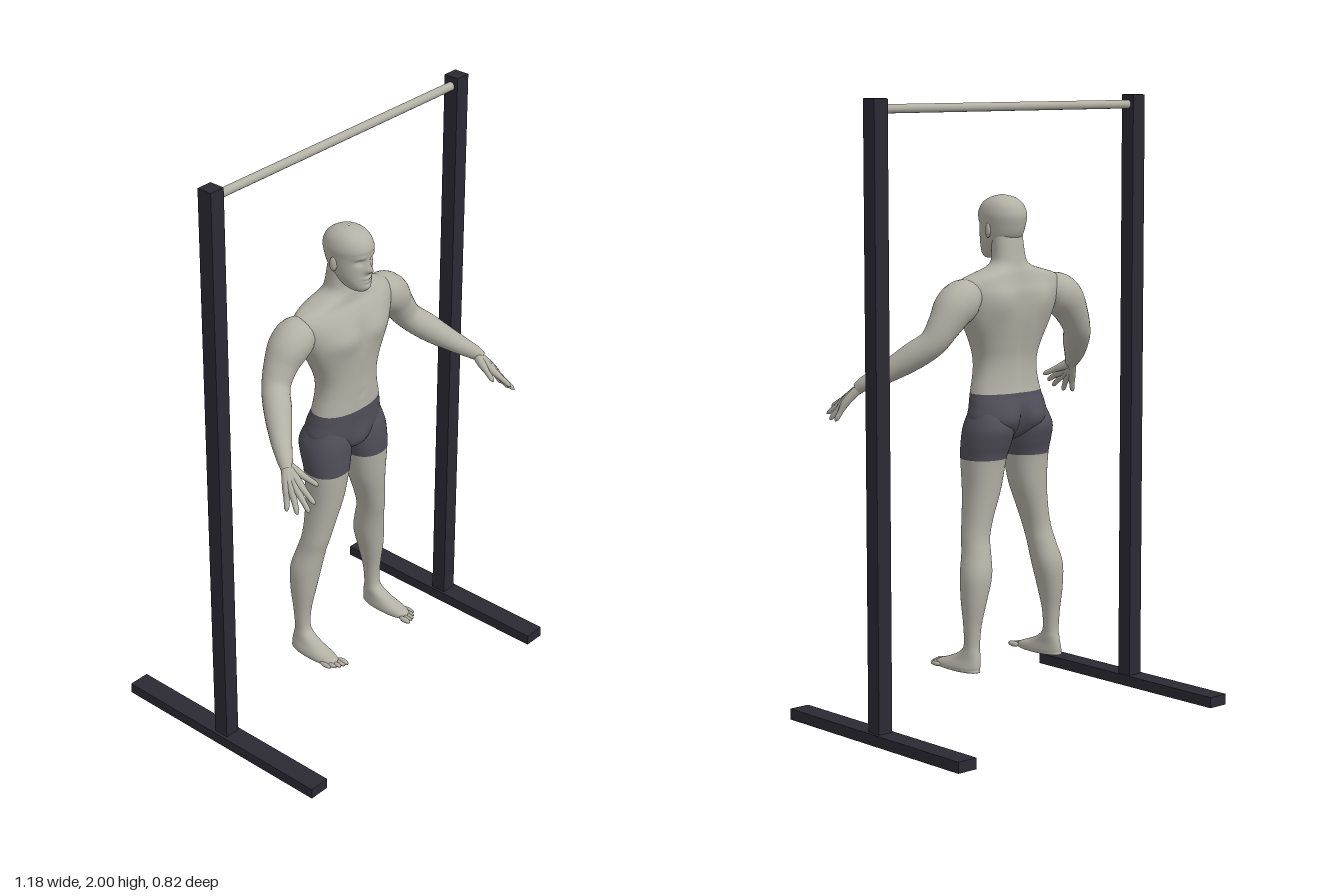
import * as THREE from 'three';
import { mergeVertices } from 'three/addons/utils/BufferGeometryUtils.js';

const mat = (name, color) => {
  const m = new THREE.MeshStandardMaterial({ color });
  m.name = name;
  return m;
};

function spline(keys, t) {
  const i = Math.min(Math.floor(t), keys.length - 2), f = t - i;
  const k = (n) => keys[Math.max(0, Math.min(keys.length - 1, n))];
  return k(i).map((b, c) => {
    const a = k(i - 1)[c], d = k(i + 1)[c], e = k(i + 2)[c];
    return b + 0.5 * f * (d - a + f * (2 * a - 5 * b + 4 * d - e + f * (3 * (b - d) + e - a)));
  });
}

// Horizontal rings [y, centre x, half width, back z, front z], bottom to top.
// Bumps are [|x|, y, side, spread x, spread y, height]; side +1 front, -1 back.
function loft(keys, { side = 1, n = 40, steps = 5, bumps = [], power = 0.9, split = 0 } = {}) {
  const pos = [], index = [], rows = (keys.length - 1) * steps;
  for (let j = 0; j <= rows; j++) {
    const [y, cx, rx, zb, zf] = spline(keys, j / steps);
    for (let i = 0; i < n; i++) {
      const a = (i / n) * Math.PI * 2, c = Math.cos(a), s = Math.sin(a);
      const x = side * cx + rx * Math.sign(c) * Math.abs(c) ** power;
      let z = (zf + zb) / 2 + ((zf - zb) / 2) * Math.sign(s) * Math.abs(s) ** power;
      for (const [bx, by, f, sx, sy, h] of bumps) {
        if (s * f > 0) {
          const g = Math.exp(-(((Math.abs(x) - bx) / sx) ** 2) - ((y - by) / sy) ** 2);
          z += f * h * g * Math.min(1, Math.abs(s) * 2);
        }
      }
      pos.push(x, y, z);
      if (j < rows) {
        const p = j * n + i, q = j * n + ((i + 1) % n);
        index.push(p, p + n, q, q, p + n, q + n);
      }
    }
  }
  const g = new THREE.BufferGeometry();
  g.setAttribute('position', new THREE.Float32BufferAttribute(pos, 3));
  g.setIndex(index);
  g.computeVertexNormals();
  // first group lies below the split key, second above it
  const cut = split * steps * n * 6;
  g.addGroup(0, cut, 0);
  g.addGroup(cut, index.length - cut, 1);
  return g;
}

// Tapered tube through points [x, y, z, radius]
function limb(points, side, segments, radial) {
  const curve = new THREE.CatmullRomCurve3(points.map(([x, y, z]) => new THREE.Vector3(x * side, y, z)));
  let g = new THREE.TubeGeometry(curve, segments, 1, radial);
  const p = g.attributes.position, v = new THREE.Vector3();
  for (let i = 0; i <= segments; i++) {
    const u = i / segments, c = curve.getPointAt(u);
    const t = curve.getUtoTmapping(u) * (points.length - 1);
    const r = Math.max(0.001, spline(points, t)[3]);
    for (let j = 0; j <= radial; j++) {
      const k = i * (radial + 1) + j;
      v.fromBufferAttribute(p, k).sub(c).multiplyScalar(r).add(c);
      p.setXYZ(k, v.x, v.y, v.z);
    }
  }
  g.deleteAttribute('uv');
  g.deleteAttribute('normal');
  g = mergeVertices(g, 1e-5);
  g.computeVertexNormals();
  return g;
}

export function createModel() {
  const root = new THREE.Group();
  root.name = 'pullUpStation';
  const skin = mat('skin', 0xb3b0a5);
  const shorts = mat('shorts', 0x504e58);
  const frame = mat('frame', 0x2b2a34);
  const steel = mat('steel', 0xb3b0a5);
  const add = (parent, name, geometry, material, x = 0, y = 0, z = 0) => {
    const m = new THREE.Mesh(geometry, material);
    m.name = name;
    m.position.set(x, y, z);
    parent.add(m);
    return m;
  };

  // Rack
  const rack = new THREE.Group();
  rack.name = 'rack';
  root.add(rack);
  for (const s of [-1, 1]) {
    add(rack, 'baseBar', new THREE.BoxGeometry(0.072, 0.036, 0.824), frame, s * 0.552, 0.018, 0);
    add(rack, 'post', new THREE.BoxGeometry(0.053, 1.964, 0.053), frame, s * 0.551, 1.018, 0);
  }
  add(rack, 'pullUpBar', new THREE.CylinderGeometry(0.014, 0.014, 1.06, 24), steel, 0, 1.968, 0).rotation.z = Math.PI / 2;

  const figure = new THREE.Group();
  figure.name = 'figure';
  root.add(figure);

  // Torso and neck, with the waistband at the fifth ring
  add(figure, 'torso', loft([
    [0.9, 0, 0.02, 0.0, 0.05], [0.925, 0, 0.085, -0.04, 0.085], [0.97, 0, 0.148, -0.062, 0.095],
    [1.02, 0, 0.143, -0.062, 0.098], [1.06, 0, 0.133, -0.05, 0.1], [1.12, 0, 0.119, -0.045, 0.1],
    [1.17, 0, 0.119, -0.046, 0.1], [1.22, 0, 0.135, -0.055, 0.103], [1.28, 0, 0.165, -0.066, 0.107],
    [1.33, 0, 0.188, -0.07, 0.106], [1.38, 0, 0.208, -0.068, 0.094], [1.41, 0, 0.21, -0.06, 0.08],
    [1.432, 0, 0.188, -0.054, 0.066], [1.447, 0, 0.14, -0.05, 0.062], [1.46, 0, 0.092, -0.045, 0.06],
    [1.475, 0, 0.066, -0.04, 0.057], [1.5, 0, 0.057, -0.035, 0.055], [1.56, 0, 0.054, -0.025, 0.06],
  ], {
    n: 64, split: 4, bumps: [
      [0.075, 1.33, 1, 0.06, 0.045, 0.012], [0, 1.33, 1, 0.013, 0.05, -0.008],
      [0, 1.17, 1, 0.01, 0.08, -0.004], [0, 1.115, 1, 0.006, 0.006, -0.006],
      [0, 1.25, -1, 0.02, 0.15, -0.015], [0.09, 1.36, -1, 0.05, 0.06, 0.015],
      [0.065, 0.97, -1, 0.05, 0.045, 0.018], [0, 0.96, -1, 0.015, 0.05, -0.02],
      [0, 0.95, 1, 0.035, 0.035, 0.012],
    ],
  }), [shorts, skin]);

  // Head with sculpted face
  add(figure, 'head', loft([
    [1.484, 0, 0.006, 0.085, 0.1], [1.489, 0, 0.026, 0.05, 0.113], [1.505, 0, 0.041, 0.02, 0.119],
    [1.53, 0, 0.053, 0.0, 0.118], [1.56, 0, 0.061, -0.03, 0.119], [1.6, 0, 0.066, -0.045, 0.119],
    [1.63, 0, 0.068, -0.048, 0.124], [1.66, 0, 0.059, -0.034, 0.109], [1.68, 0, 0.038, -0.005, 0.08],
    [1.69, 0, 0.003, 0.036, 0.042],
  ], {
    n: 64, steps: 8, power: 0.95, bumps: [
      [0, 1.564, 1, 0.011, 0.012, 0.022], [0, 1.585, 1, 0.008, 0.014, 0.01],
      [0.025, 1.607, 1, 0.02, 0.007, 0.005], [0.027, 1.592, 1, 0.013, 0.009, -0.01],
      [0, 1.534, 1, 0.018, 0.005, 0.007], [0, 1.522, 1, 0.016, 0.004, 0.006],
      [0, 1.503, 1, 0.016, 0.009, 0.005],
    ],
  }), skin);

  const hand = [
    ['thumb', [0.443, 1.082, 0.225], [0.42, 1.05, 0.295]],
    ['indexFinger', [0.463, 1.06, 0.252], [0.472, 1.022, 0.327]],
    ['middleFinger', [0.475, 1.052, 0.25], [0.494, 1.0, 0.325]],
    ['ringFinger', [0.486, 1.047, 0.243], [0.51, 0.986, 0.29]],
    ['littleFinger', [0.493, 1.046, 0.23], [0.518, 0.986, 0.252]],
  ];

  for (const s of [-1, 1]) {
    const label = s > 0 ? 'left' : 'right';
    const ear = add(figure, label + 'Ear', new THREE.SphereGeometry(1, 16, 12), skin, s * 0.066, 1.578, 0.034);
    ear.scale.set(0.007, 0.024, 0.013);
    ear.rotation.y = -s * 0.3;

    // Arm from shoulder to wrist
    add(figure, label + 'Arm', limb([
      [0.13, 1.385, 0.0, 0.03], [0.19, 1.373, 0.002, 0.062], [0.235, 1.345, 0.002, 0.066],
      [0.275, 1.295, 0.004, 0.054], [0.312, 1.24, 0.018, 0.045], [0.355, 1.195, 0.066, 0.044],
      [0.41, 1.143, 0.13, 0.034], [0.455, 1.103, 0.19, 0.023], [0.465, 1.09, 0.205, 0.018],
    ], s, 48, 24), skin);

    // Hand: finger bones fan out from the wrist to form the palm
    for (const [name, knuckle, tip] of hand) {
      const at = (f) => knuckle.map((k, i) => k + (tip[i] - k) * f);
      add(figure, label + name[0].toUpperCase() + name.slice(1), limb([
        [0.455, 1.103, 0.19, 0.015], [...knuckle, 0.014], [...at(0.45), 0.0095],
        [...at(0.88), 0.0075], [...tip, 0.001],
      ], s, 20, 10), skin);
    }

    // Leg with foot; the shorts end at the hem ring
    add(figure, label + 'Leg', loft([
      [0.165, 0.178, 0.004, 0.045, 0.055], [0.167, 0.18, 0.031, -0.036, 0.145], [0.178, 0.18, 0.036, -0.042, 0.152],
      [0.19, 0.179, 0.034, -0.043, 0.135], [0.207, 0.177, 0.029, -0.041, 0.085], [0.228, 0.175, 0.026, -0.037, 0.042],
      [0.255, 0.174, 0.024, -0.033, 0.02], [0.32, 0.173, 0.028, -0.038, 0.021], [0.4, 0.167, 0.039, -0.052, 0.034],
      [0.48, 0.156, 0.049, -0.058, 0.044], [0.55, 0.143, 0.044, -0.042, 0.055], [0.6, 0.135, 0.043, -0.029, 0.067],
      [0.66, 0.121, 0.047, -0.028, 0.077], [0.75, 0.101, 0.06, -0.034, 0.09], [0.85, 0.092, 0.073, -0.043, 0.099],
      [0.9, 0.087, 0.08, -0.058, 0.099], [0.95, 0.084, 0.078, -0.07, 0.095], [1.0, 0.08, 0.064, -0.05, 0.08],
    ], { side: s, split: 14 }), [skin, shorts]);

    // Toes, largest on the inner side
    for (let i = 0; i < 5; i++) {
      const toe = add(figure, label + 'Toe', new THREE.SphereGeometry(1, 12, 10), skin,
        s * (0.157 + i * 0.0135), 0.175, 0.157 - 0.0018 * i * i);
      const r = i === 0 ? 0.0095 : 0.0075;
      toe.scale.set(r, r, 0.024);
    }
  }
  return root;
}
